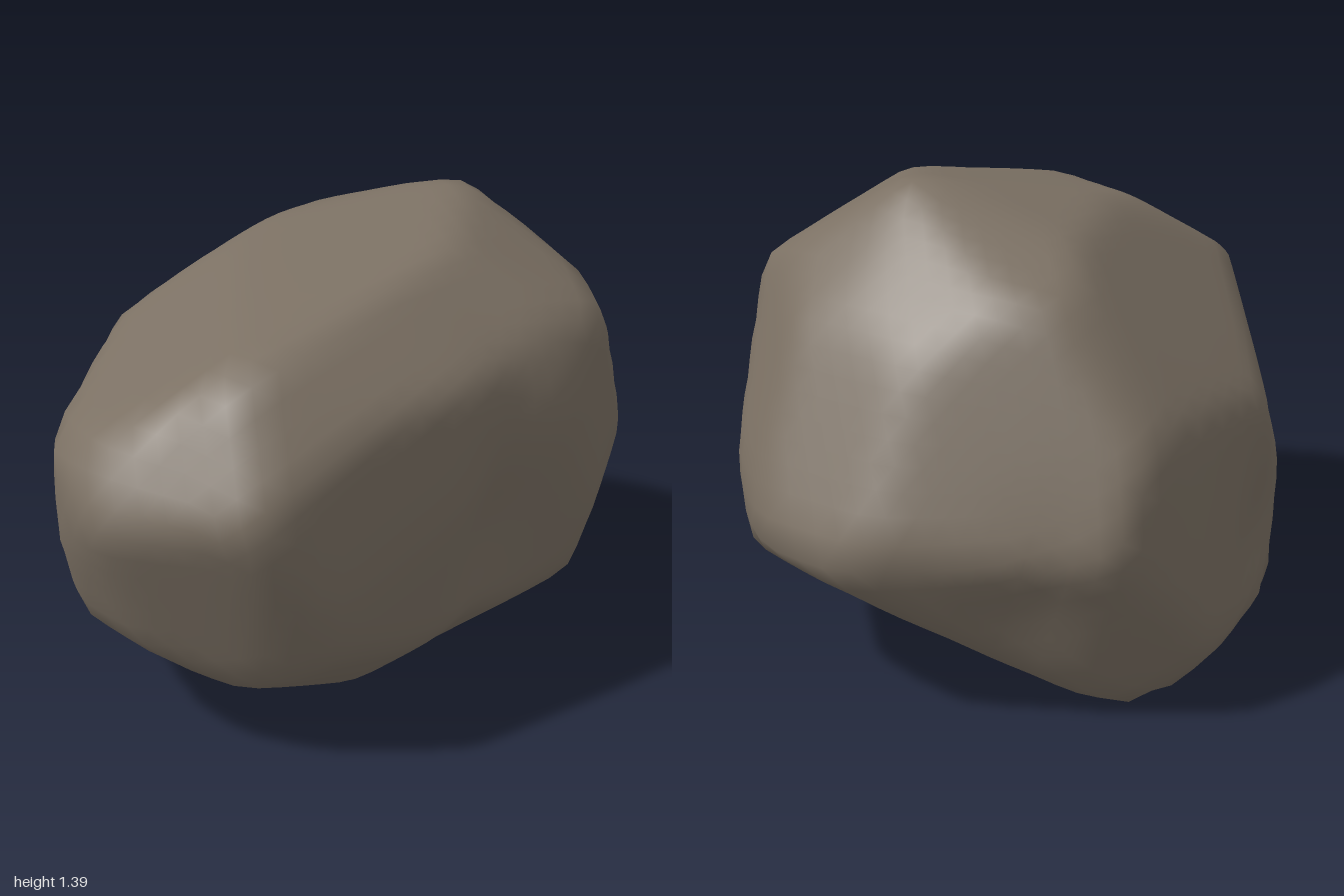
import * as THREE from 'three';
import { mergeVertices } from 'three/addons/utils/BufferGeometryUtils.js';

const V = (x, y, z) => new THREE.Vector3(x, y, z);
const MID = 0.7;    // height of the boulder's centre
const POWER = 75;   // higher gives crisper edges between facets
const SWELL = 1.01; // makes up for the stone lost in rounding those edges

// Convex outlines the stone is carved to, each cut along a turn and a tilt in degrees
const cuts = [
  { turn: 0, tilt: 0, outline: [[-.28, -.7], [-.8, -.42], [-1, .09], [-.8, .44], [.45, .7],
    [.72, .39], [1, -.22], [.86, -.42], [.4, -.7]] },
  { turn: 90, tilt: 0, outline: [[-.35, -.7], [-.58, -.48], [-.73, .19], [-.64, .47], [-.5, .62],
    [-.12, .7], [.37, .53], [.68, .11], [.73, -.53], [.6, -.7]] },
  { turn: 0, tilt: 90, outline: [[-1, -.26], [-.93, 0], [-.5, .5], [-.16, .68], [.28, .73], [.65, .67],
    [.86, .44], [1, .08], [.98, -.21], [.81, -.48], [.5, -.65], [.26, -.72], [-.76, -.63], [-.93, -.47]] },
  { turn: 45, tilt: 30, outline: [[-1, .15], [-.78, .49], [-.04, .61], [.47, .53], [.87, .1],
    [.94, -.14], [.7, -.57], [.01, -.77], [-.34, -.68], [-.78, -.33]] },
  { turn: 225, tilt: 30, outline: [[-.92, -.16], [-.63, .48], [-.22, .81], [.22, .73], [.74, .38],
    [1, .07], [.74, -.51], [.08, -.79], [-.35, -.81], [-.64, -.7]] },
  { turn: 135, tilt: -30, outline: [[-.91, .05], [-.74, .44], [-.42, .7], [0, .7], [.55, .27],
    [.7, -.2], [.6, -.61], [.18, -.76], [-.12, -.74], [-.74, -.4]] },
];

// Soft hollows: centre, radii and depth
const dents = [
  { at: V(.07, -.14, .68), size: V(.11, .36, .3), depth: .07 },   // front groove
  { at: V(-.12, -.38, -.58), size: V(.2, .28, .25), depth: .09 }, // back hollow
  { at: V(.72, -.35, -.55), size: V(.14, .25, .2), depth: .03 },  // side crease
];

// One facet plane per outline edge
function facetPlanes({ turn, tilt, outline }) {
  const view = new THREE.Euler(
    -THREE.MathUtils.degToRad(tilt), THREE.MathUtils.degToRad(turn), 0, 'YXZ');
  return outline.map(([u, v], i) => {
    const [u2, v2] = outline[(i + 1) % outline.length];
    const normal = V(v - v2, u2 - u, 0).normalize(); // outlines run clockwise or back
    const dist = normal.x * u + normal.y * v;
    normal.multiplyScalar(Math.sign(dist)).applyEuler(view);
    return { normal, dist: Math.abs(dist) * SWELL };
  });
}

export function createModel() {
  const group = new THREE.Group();
  group.name = 'boulder';
  const stone = new THREE.MeshStandardMaterial({ color: 0x7b7063 });
  stone.name = 'stone';

  let geo = new THREE.IcosahedronGeometry(1, 14);
  geo.deleteAttribute('uv');
  geo.deleteAttribute('normal');
  geo = mergeVertices(geo, 1e-4);

  // Push each point out to the softened intersection of the facet planes, then press in the hollows
  const planes = cuts.flatMap(facetPlanes);
  const pos = geo.attributes.position;
  const p = V(0, 0, 0);
  for (let i = 0; i < pos.count; i++) {
    p.fromBufferAttribute(pos, i);
    let sum = 0;
    for (const { normal, dist } of planes) {
      sum += Math.max(0, normal.dot(p) / dist) ** POWER;
    }
    p.multiplyScalar(sum ** (-1 / POWER));
    let shrink = 1;
    for (const { at, size, depth } of dents) {
      shrink -= depth * Math.exp(-p.clone().sub(at).divide(size).lengthSq());
    }
    p.multiplyScalar(shrink);
    pos.setXYZ(i, p.x, Math.max(0, p.y + MID), p.z); // flat underside on the ground
  }
  geo.computeVertexNormals();

  const rock = new THREE.Mesh(geo, stone);
  rock.name = 'rock';
  group.add(rock);
  return group;
}
